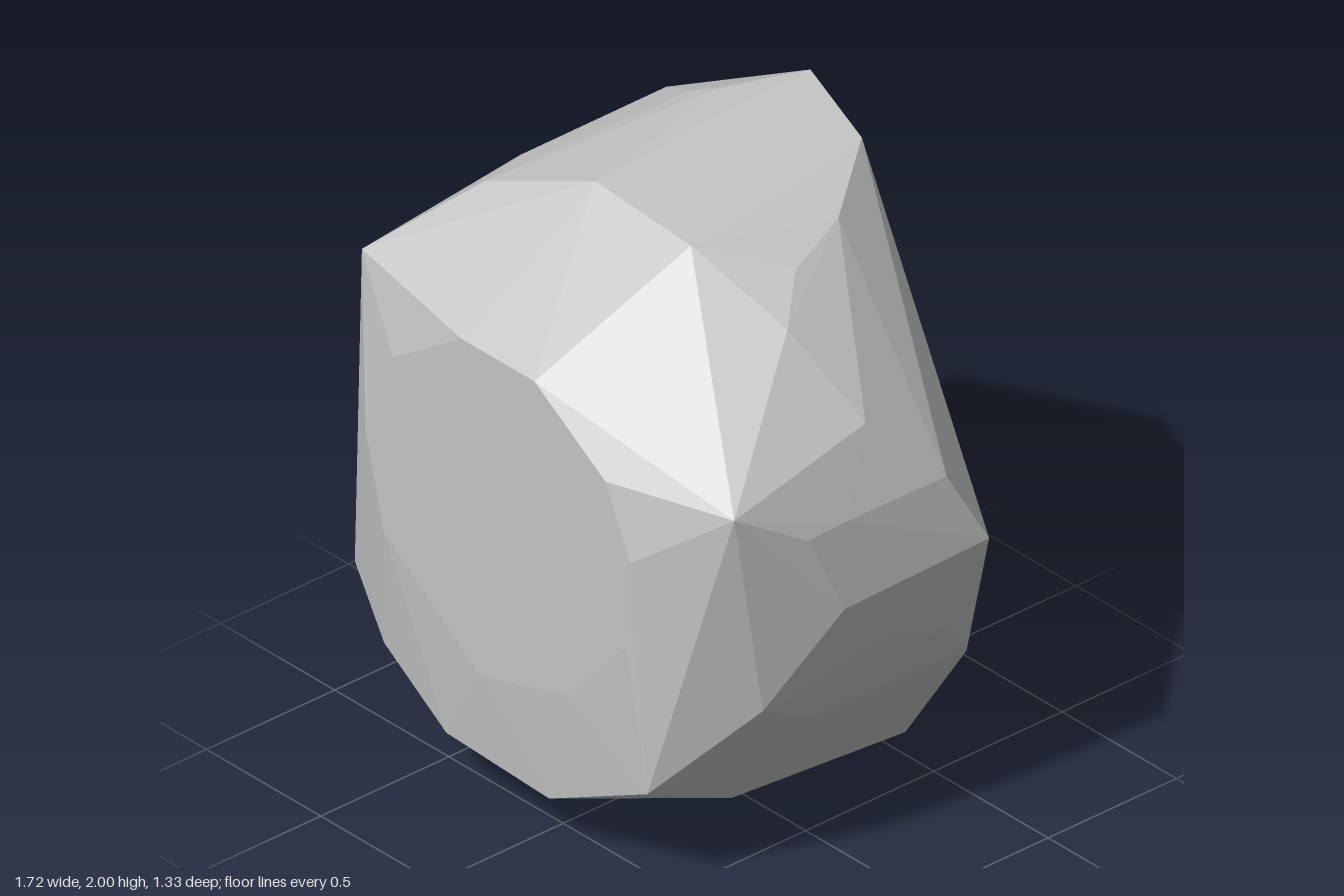
import * as THREE from 'three';
import { ConvexGeometry } from 'three/addons/geometries/ConvexGeometry.js';

// Corner points of the boulder, grouped by side
const frontFace = [
  [-0.26, 1.6], [0.06, 1.6], [0.37, 1.4], [0.48, 1.17], [0.46, 0.88],
  [0.22, 0.6], [-0.18, 0.49], [-0.6, 0.79], [-0.68, 1.1], [-0.56, 1.4],
].map(([x, y]) => [x, y, 0.665]);

const frontRim = [
  [-0.78, 1.64, 0.59], [0.76, 1.38, 0.51], [0.52, 0.39, 0.635], [0.09, 0.18, 0.635],
  [-0.36, 0.2, 0.635], [-0.66, 0.36, 0.61], [-0.85, 0.53, 0.555],
];

const crown = [
  [-0.22, 2, -0.66], [0.14, 1.98, -0.54], [0.33, 1.9, -0.28], [0.4, 1.845, -0.05],
  [0.51, 1.745, 0.08], [0.2, 1.93, 0.18], [-0.22, 1.96, 0.18], [-0.58, 1.84, 0.29],
  [-0.67, 1.8, 0.07], [-0.66, 1.81, -0.49], [-0.45, 1.93, -0.4], [-0.36, 1.968, -0.42],
];

const rightSide = [
  [0.74, 1.49, -0.02], [0.825, 1.25, -0.26], [0.82, 1.25, 0.13], [0.815, 1.24, 0.27],
  [0.86, 1, -0.395], [0.84, 0.97, 0.15], [0.807, 0.8, -0.05], [0.79, 0.71, -0.3],
  [0.74, 0.67, 0.38], [0.71, 0.53, -0.44], [0.71, 0.55, -0.2], [0.69, 0.53, 0.14],
];

const backLeft = [[-0.86, 1.64, -0.665], [-0.86, 0.46, -0.56]];

const base = [
  [0.33, 0.04, -0.54], [0.09, 0, -0.63], [-0.53, 0.04, -0.62],
  [-0.46, 0.06, 0.18], [0, 0.06, 0.18], [0.3, 0.065, 0.11],
];

export function createModel() {
  const stone = new THREE.MeshStandardMaterial({ color: 0xc4c4c4 });
  stone.name = 'stoneGrey';
  stone.flatShading = true;

  // One faceted solid wrapped around all the corners
  const points = [frontFace, frontRim, crown, rightSide, backLeft, base]
    .flat()
    .map((p) => new THREE.Vector3(...p));
  const boulder = new THREE.Mesh(new ConvexGeometry(points), stone);
  boulder.name = 'boulder';

  const group = new THREE.Group();
  group.name = 'rock';
  group.add(boulder);
  return group;
}
